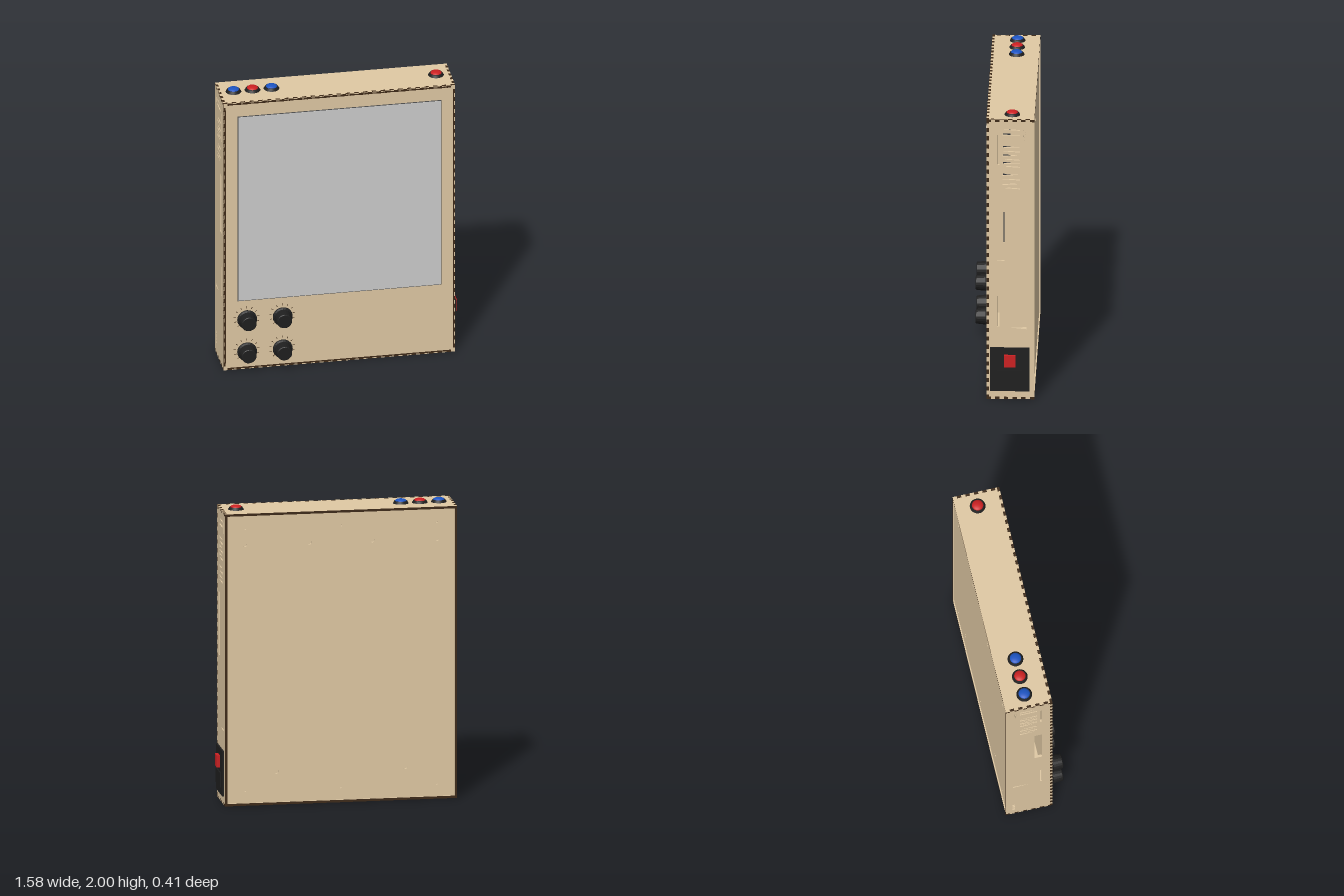
import * as THREE from 'three';

const mat = (name, color) => {
  const m = new THREE.MeshStandardMaterial({ color });
  m.name = name;
  return m;
};

// Case extents and sheet thickness
const X0 = -0.795, X1 = 0.755, H = 1.97, Z0 = -0.21, Z1 = 0.105, T = 0.016;
const NX = 53, NY = 67, NZ = 11;

// Rectangle outline with finger joints. Each edge (bottom, right, top, left)
// is [cell count, parity of the cells that stand out].
function fingerOutline(u0, v0, u1, v1, edges) {
  const w = u1 - u0, h = v1 - v0, pts = [];
  const place = [
    (s, d) => [u0 + s, v0 + d], (s, d) => [u1 - d, v0 + s],
    (s, d) => [u1 - s, v1 - d], (s, d) => [u0 + d, v1 - s]];
  const cornerInset = edges.map(([, keep]) => (keep === 0 ? 0 : T));
  edges.forEach(([n, keep], e) => {
    const len = e % 2 ? h : w;
    const lo = cornerInset[(e + 3) % 4], hi = len - cornerInset[(e + 1) % 4];
    for (let i = 0; i < n; i++) {
      const d = i % 2 === keep ? 0 : T;
      for (const k of [i, i + 1]) {
        const s = Math.min(hi, Math.max(lo, (len * k) / n));
        const p = new THREE.Vector2(...place[e](s, d));
        if (!pts.length || pts[pts.length - 1].distanceTo(p) > 1e-5) pts.push(p);
      }
    }
  });
  if (pts[0].distanceTo(pts[pts.length - 1]) < 1e-5) pts.pop();
  return pts;
}

const polyHole = (...p) => new THREE.Path(p.map(([a, b]) => new THREE.Vector2(a, b)));
const rectHole = (a0, b0, a1, b1) => polyHole([a0, b0], [a1, b0], [a1, b1], [a0, b1]);
const roundHole = (x, y, r) => new THREE.Path().absarc(x, y, r, 0, Math.PI * 2, true);

// Cut sheet: wooden faces and holes (material 0), burnt outer edge (material 1)
function sheet(outline, holes = []) {
  const shape = new THREE.Shape(outline);
  shape.holes.push(...holes);
  const geo = new THREE.ExtrudeGeometry(shape, { depth: T, bevelEnabled: false, curveSegments: 6 });
  const start = geo.groups[1].start, rim = outline.length * 6;
  const rest = geo.attributes.position.count - start - rim;
  geo.clearGroups();
  geo.addGroup(0, start, 0);
  geo.addGroup(start, rim, 1);
  if (rest > 0) geo.addGroup(start + rim, rest, 0);
  return geo;
}

export function createModel() {
  const wood = mat('plywood', 0xe0c9a4);
  const burnt = mat('burntEdge', 0x3e2a18);
  const black = mat('blackPlastic', 0x1f1f1f);
  const red = mat('redPlastic', 0xcc2022);
  const blue = mat('bluePlastic', 0x1c54c2);
  const bezel = mat('screenEdge', 0x505050);
  const glass = mat('screenFace', 0xcccccc);
  const cut = [wood, burnt];

  const model = new THREE.Group();
  const add = (name, geo, material, x = 0, y = 0, z = 0, parent = model) => {
    const m = new THREE.Mesh(geo, material);
    m.name = name;
    m.position.set(x, y, z);
    parent.add(m);
    return m;
  };
  const box = (name, material, x0, x1, y0, y1, z0, z1) =>
    add(name, new THREE.BoxGeometry(x1 - x0, y1 - y0, z1 - z0), material,
      (x0 + x1) / 2, (y0 + y1) / 2, (z0 + z1) / 2);

  // Front panel with scorched seams along its joints
  add('frontPanel', sheet(fingerOutline(X0, 0, X1, H, [[NX, 0], [NY, 0], [NX, 0], [NY, 0]])),
    cut, 0, 0, Z1 - T);
  for (const [x0, x1, y0, y1] of [
    [X0 + 0.007, X0 + 0.016, 0.05, 1.92], [X1 - 0.016, X1 - 0.007, 0.05, 1.92],
    [-0.74, 0.7, 0.007, 0.016], [-0.74, 0.7, H - 0.014, H - 0.006]])
    box('frontSeam', burnt, x0, x1, y0, y1, Z1 - 0.001, Z1 + 0.001);

  // Side panels with cable slots and wedge-shaped vents
  const sideHoles = () => {
    const holes = [
      rectHole(0.02, 1.65, 0.034, 1.86), rectHole(-0.015, 0.975, 0.035, 1.4),
      rectHole(0.02, 0.51, 0.034, 0.725),
      polyHole([-0.06, 0.503], [-0.16, 0.493], [-0.16, 0.509]),
      polyHole([-0.137, 1.9], [-0.157, 1.9], [-0.143, 1.82]),
      rectHole(-0.115, 1.858, 0, 1.872)];
    [1.9, 1.777, 1.747, 1.718, 1.69, 1.664, 1.64, 1.582, 1.55, 1.517, 1.488].forEach((y, i) => {
      const [tip, end] = i % 2 ? [-0.115, 0] : [0, -0.115];
      holes.push(polyHole([tip, y], [end, y - 0.008], [end, y + 0.008]));
    });
    return holes;
  };
  const connectorHoles = [0, 1, 2, 3].map(i =>
    rectHole(-0.165, 0.07 + i * 0.025, -0.148, 0.087 + i * 0.025));
  for (const [name, x, extra] of [['leftPanel', X1, []], ['rightPanel', X0 + T, connectorHoles]]) {
    const outline = fingerOutline(Z0, 0, Z1, H, [[NZ, 1], [NY, 1], [NZ, 1], [1, 0]]);
    add(name, sheet(outline, [...sideHoles(), ...extra]), cut, x).rotation.y = -Math.PI / 2;
  }

  // Top and bottom panels, the bottom one vented
  const bottomHoles = [];
  for (const start of [0.3, -0.74])
    for (let i = 0; i < 10; i++) {
      const x = start + i * 0.035, [tip, end] = i % 2 ? [-0.12, 0] : [0, -0.12];
      bottomHoles.push(polyHole([x, tip], [x - 0.007, end], [x + 0.007, end]));
    }
  for (const [name, y, holes] of [['topPanel', H, []], ['bottomPanel', T, bottomHoles]]) {
    const outline = fingerOutline(X0, Z0, X1, Z1, [[1, 0], [NZ, 0], [NX, 1], [NZ, 0]]);
    add(name, sheet(outline, holes), cut, 0, y).rotation.x = Math.PI / 2;
  }

  // Recessed back panel with screw holes
  const back = [[X0 + T, T], [X1 - T, T], [X1 - T, H - T], [X0 + T, H - T]]
    .map(([x, y]) => new THREE.Vector2(x, y));
  const screws = [];
  for (const x of [0.62, -0.02, -0.66])
    for (const y of [0.1, 1.867]) screws.push(roundHole(x, y, 0.008));
  for (const [x, y] of [[0.62, 1.757], [0.19, 1.757], [-0.23, 1.757], [-0.66, 1.75], [0.41, 0.22], [-0.45, 0.22]])
    screws.push(roundHole(x, y, 0.014));
  add('backPanel', sheet(back, screws), cut, 0, 0, Z0 + 0.008);

  // Screen
  box('screenBody', bezel, -0.7, 0.663, 0.505, 1.868, Z1 - 0.002, Z1 + 0.004);
  box('screenFace', glass, -0.696, 0.659, 0.509, 1.864, Z1 + 0.003, Z1 + 0.0055);

  // Knobs with dial marks
  const knobProfile = [[0, 0], [0.066, 0], [0.066, 0.01], [0.056, 0.016], [0.05, 0.078], [0.046, 0.082], [0, 0.082]]
    .map(([r, y]) => new THREE.Vector2(r, y));
  const knobGeo = new THREE.LatheGeometry(knobProfile, 20).toNonIndexed();
  knobGeo.computeVertexNormals();
  const markGeo = new THREE.BoxGeometry(0.016, 0.003, 0.002);
  for (const kx of [-0.64, -0.402])
    for (const ky of [0.375, 0.137]) {
      const dial = new THREE.Group();
      dial.name = 'dial';
      dial.position.set(kx, ky, Z1);
      model.add(dial);
      add('knob', knobGeo, black, 0, 0, 0.018, dial).rotation.x = Math.PI / 2;
      for (let i = 0; i <= 10; i++) {
        const a = -Math.PI / 4 + (i / 10) * Math.PI * 1.5;
        add('dialMark', markGeo, burnt, Math.cos(a) * 0.079, Math.sin(a) * 0.079, 0.0005, dial).rotation.z = a;
      }
    }

  // Push buttons on top
  const collarGeo = new THREE.CylinderGeometry(0.042, 0.052, 0.016, 28);
  const capGeo = new THREE.SphereGeometry(0.038, 24, 6, 0, Math.PI * 2, 0, Math.PI / 2).scale(1, 0.4, 1);
  for (const [x, color] of [[-0.697, blue], [-0.57, red], [-0.443, blue], [0.657, red]]) {
    add('buttonCollar', collarGeo, black, x, H + 0.008, -0.063);
    add('buttonCap', capGeo, color, x, H + 0.015, -0.063);
  }

  // Power switch and inlet on the left side
  box('inletPlate', black, X1 - 0.002, X1 + 0.012, 0.06, 0.365, -0.178, 0.08);
  box('inletSocket', black, X1, X1 + 0.02, 0.11, 0.21, -0.13, 0.035);
  box('switchRocker', red, X1, X1 + 0.034, 0.237, 0.317, -0.087, -0.01);

  return model;
}
